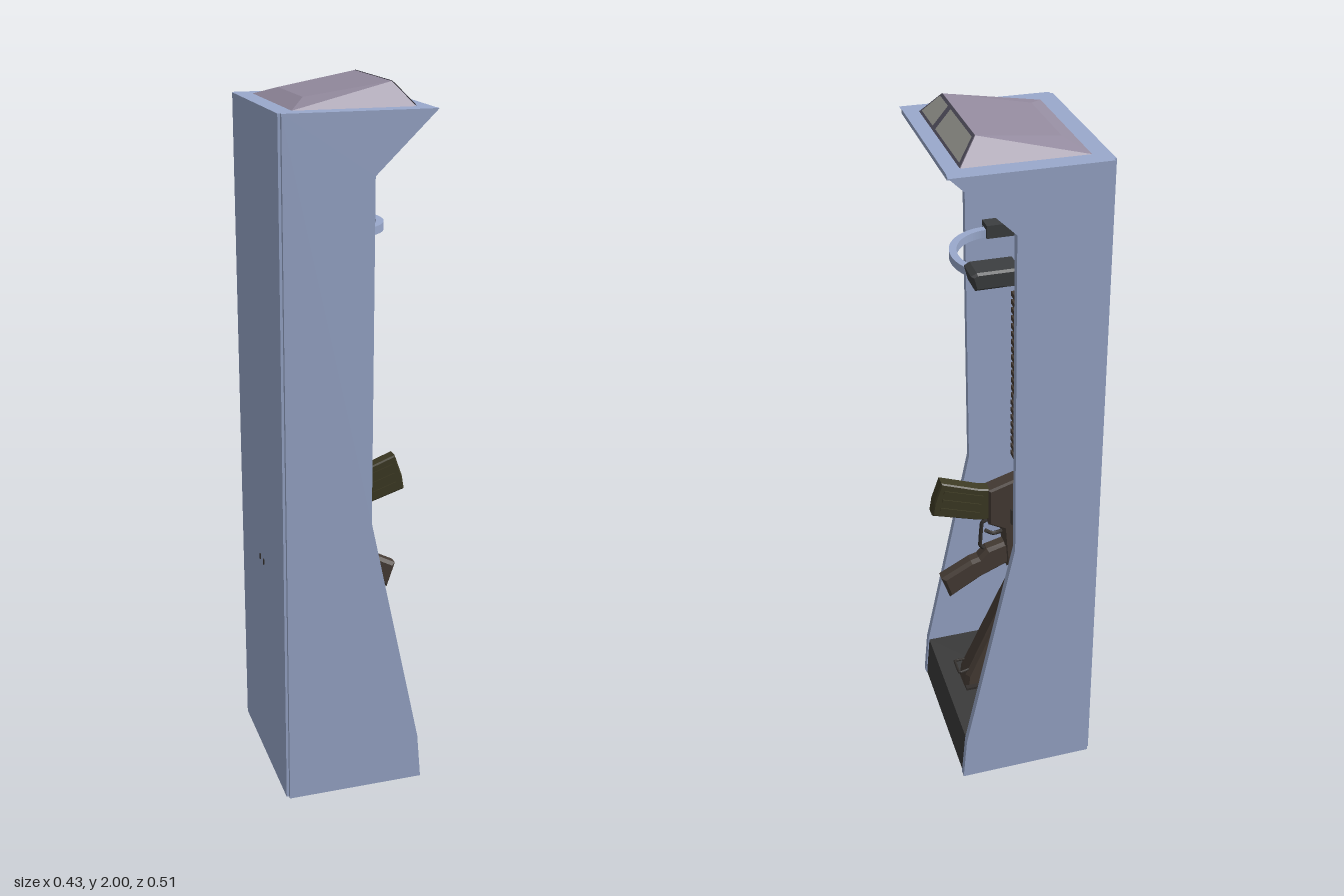
import * as THREE from 'three';
import { ConvexGeometry } from 'three/addons/geometries/ConvexGeometry.js';

const mat = (color) => new THREE.MeshStandardMaterial({ color, side: THREE.DoubleSide, flatShading: true });
const BLUE = mat(0x9aa9cc), DARK = mat(0x3a3a3a), HOOD = mat(0x958ca0), FRAME = mat(0x5b5868), GLASS = mat(0xa8a8a0);
const GUN = mat(0x463c35), STEEL = mat(0x332f2c), MAG = mat(0x3d3a24), HOLDER = mat(0x3c3e40);
const SMOOTH = new THREE.MeshStandardMaterial({ color: 0x3b342f });
const BORE = -0.09; // x of the barrel axis

function add(group, name, geometry, material, x = 0, y = 0, z = 0) {
  const m = new THREE.Mesh(geometry, material);
  m.name = name;
  m.position.set(x, y, z);
  group.add(m);
  return m;
}

// box given by its min and max along each axis
function box(group, name, material, [x0, x1], [y0, y1], [z0, z1]) {
  return add(group, name, new THREE.BoxGeometry(x1 - x0, y1 - y0, z1 - z0), material,
    (x0 + x1) / 2, (y0 + y1) / 2, (z0 + z1) / 2);
}

// side outline (x, y) given thickness along z
function slab(group, name, material, pts, depth, z = 0, bevel = 0, hole) {
  const shape = new THREE.Shape(pts.map((p) => new THREE.Vector2(...p)));
  if (hole) shape.holes.push(new THREE.Path(hole.map((p) => new THREE.Vector2(...p))));
  const d = depth - 2 * bevel;
  const geo = new THREE.ExtrudeGeometry(shape, {
    depth: d, bevelEnabled: bevel > 0, bevelSize: bevel, bevelOffset: -bevel, bevelThickness: bevel, bevelSegments: 1,
  });
  geo.translate(0, 0, -d / 2);
  return add(group, name, geo, material, 0, 0, z);
}

// upright round part on the barrel axis
function round(group, name, r0, r1, y0, y1, sides = 20, material = SMOOTH) {
  return add(group, name, new THREE.CylinderGeometry(r1, r0, y1 - y0, sides), material, BORE, (y0 + y1) / 2, 0);
}

function tube(group, name, pts, r, material, curved = false) {
  const v = pts.map((p) => new THREE.Vector3(...p));
  const curve = new THREE.CatmullRomCurve3(v, false, 'catmullrom', curved ? 0.5 : 0.1);
  return add(group, name, new THREE.TubeGeometry(curve, 32, r, 8), material);
}

function cabinet() {
  const g = new THREE.Group();
  g.name = 'cabinet';
  const side = [[-0.205, 0], [0.195, 0], [0.183, 0.14], [0.035, 0.84], [0.035, 1.78], [0.2, 1.94], [-0.205, 1.94]];
  for (const s of [1, -1]) slab(g, s > 0 ? 'leftWall' : 'rightWall', BLUE, side, 0.022, s * 0.242);
  box(g, 'backPanel', BLUE, [-0.212, -0.203], [0, 1.94], [-0.242, 0.242]);
  box(g, 'roof', BLUE, [-0.205, 0.198], [1.928, 1.94], [-0.232, 0.232]);
  slab(g, 'plinth', DARK, [[-0.203, 0.001], [0.192, 0.001], [0.18, 0.14], [-0.203, 0.14]], 0.462);
  return g;
}

function hood() {
  const g = new THREE.Group();
  g.name = 'roofHood';
  const pts = [];
  for (const s of [1, -1]) {
    for (const [x, y, z] of [[-0.165, 1.94, 0.2], [-0.115, 1.963, 0.122], [0.108, 1.998, 0.153], [0.158, 1.94, 0.2]]) {
      pts.push(new THREE.Vector3(x, y, s * z));
    }
  }
  add(g, 'hoodShell', new ConvexGeometry(pts), HOOD);
  // panel on the sloping front: corners are (z, height fraction)
  const panel = (name, material, corners, lift) => {
    const p = corners.flatMap(([z, t]) => [0.158 - 0.05 * t + 0.76 * lift, 1.94 + 0.058 * t + 0.65 * lift, z]);
    const geo = new THREE.BufferGeometry();
    geo.setAttribute('position', new THREE.Float32BufferAttribute(p, 3));
    geo.setIndex([0, 1, 2, 0, 2, 3]);
    geo.computeVertexNormals();
    add(g, name, geo, material);
  };
  panel('windowFrame', FRAME, [[0.2, 0], [-0.2, 0], [-0.153, 1], [0.153, 1]], 0.002);
  panel('largeWindow', GLASS, [[0.045, 0.1], [-0.184, 0.1], [-0.15, 0.9], [0.045, 0.9]], 0.004);
  panel('smallWindow', GLASS, [[0.184, 0.1], [0.07, 0.1], [0.07, 0.9], [0.15, 0.9]], 0.004);
  return g;
}

function barrelHolder() {
  const g = new THREE.Group();
  g.name = 'barrelHolder';
  box(g, 'leftArm', HOLDER, [-0.203, 0.005], [1.603, 1.64], [0.12, 0.165]);
  box(g, 'rightArm', HOLDER, [-0.203, 0.04], [1.603, 1.64], [-0.165, -0.12]);
  slab(g, 'lockBlock', HOLDER, [[0, 1.6], [0.115, 1.6], [0.125, 1.64], [0.11, 1.648], [0, 1.648]], 0.08, -0.125, 0.006);
  // swinging front bow, flat in section
  const bow = new THREE.Shape();
  bow.absarc(0, 0, 0.15, -Math.PI / 2, Math.PI / 2, false);
  bow.absarc(0, 0, 0.128, Math.PI / 2, -Math.PI / 2, true);
  const geo = new THREE.ExtrudeGeometry(bow, { depth: 0.022, bevelEnabled: false, curveSegments: 20 });
  geo.rotateX(-Math.PI / 2);
  geo.scale(0.9, 1, 1);
  add(g, 'bow', geo, BLUE, 0, 1.604, 0);
  return g;
}

function handguard() {
  const g = new THREE.Group();
  g.name = 'handguard';
  round(g, 'handguardCore', 0.043, 0.043, 0.965, 1.505, 12, GUN);
  round(g, 'deltaRing', 0.032, 0.046, 0.925, 0.965);
  round(g, 'handguardCap', 0.044, 0.036, 1.505, 1.52);
  // four toothed rails
  for (let k = 0; k < 4; k++) {
    const rail = new THREE.Group();
    rail.name = 'rail';
    rail.position.x = BORE;
    rail.rotation.y = (k * Math.PI) / 2;
    box(rail, 'railBase', GUN, [0.03, 0.049], [0.97, 1.5], [-0.016, 0.016]);
    for (let i = 0; i < 22; i++) {
      const y = 0.972 + i * 0.0241;
      box(rail, 'railTooth', GUN, [0.045, 0.057], [y, y + 0.014], [-0.02, 0.02]);
    }
    g.add(rail);
  }
  return g;
}

function rifle() {
  const g = new THREE.Group();
  g.name = 'rifle';
  // stock, wider in z towards the butt
  const stock = slab(g, 'stock', GUN, [[-0.135, 0.142], [0.13, 0.155], [0.125, 0.2], [-0.035, 0.56], [-0.045, 0.62],
    [-0.125, 0.62], [-0.13, 0.5]], 0.076, 0, 0.012);
  const p = stock.geometry.attributes.position;
  for (let i = 0; i < p.count; i++) p.setZ(i, p.getZ(i) * (1.05 - 0.65 * Math.max(0, p.getY(i) - 0.14)));
  stock.geometry.computeVertexNormals();
  box(g, 'buttPlate', STEEL, [-0.13, 0.125], [0.14, 0.148], [-0.036, 0.036]);
  tube(g, 'slingLoop', [[0.1, 0.22, 0.022], [0.145, 0.215, 0.028], [0.145, 0.215, -0.028], [0.1, 0.22, -0.022]], 0.004, STEEL);
  // receivers
  slab(g, 'upperReceiver', GUN, [[-0.13, 0.62], [-0.06, 0.62], [-0.055, 0.93], [-0.125, 0.93]], 0.064, 0, 0.01);
  slab(g, 'lowerReceiver', GUN, [[-0.07, 0.6], [-0.01, 0.6], [0.0, 0.74], [0.045, 0.765], [0.045, 0.885], [-0.07, 0.92]],
    0.052, 0, 0.006);
  slab(g, 'magazine', MAG, [[-0.01, 0.775], [0.075, 0.785], [0.212, 0.828], [0.205, 0.87], [0.182, 0.935], [0.07, 0.893],
    [-0.01, 0.875]], 0.04, 0, 0.004);
  for (const s of [1, -1]) for (const k of [-1, 0, 1]) {
    const rib = add(g, 'magazineRib', new THREE.BoxGeometry(0.12, 0.01, 0.006), MAG, 0.125 - k * 0.006, 0.857 + k * 0.028, s * 0.02);
    rib.rotation.z = 0.33;
  }
  slab(g, 'pistolGrip', GUN, [[-0.02, 0.69], [0.05, 0.672], [0.075, 0.645], [0.1, 0.638], [0.19, 0.59], [0.165, 0.515],
    [0.07, 0.572], [-0.02, 0.61]], 0.046, 0, 0.01);
  tube(g, 'triggerGuard', [[0.05, 0.66, 0], [0.066, 0.68, 0], [0.06, 0.76, 0], [0.03, 0.775, 0]], 0.006, STEEL);
  tube(g, 'trigger', [[-0.01, 0.72, 0], [0.025, 0.715, 0], [0.05, 0.73, 0]], 0.006, STEEL, true);
  // controls on the sides
  const assist = add(g, 'forwardAssist', new THREE.CylinderGeometry(0.015, 0.013, 0.09, 12), SMOOTH, -0.08, 0.64, 0.035);
  assist.rotation.x = -0.3;
  slab(g, 'caseDeflector', GUN, [[-0.1, 0.69], [-0.06, 0.69], [-0.06, 0.74], [-0.1, 0.75]], 0.04, 0.036, 0.008);
  box(g, 'ejectionCover', STEEL, [-0.105, -0.065], [0.76, 0.89], [0.03, 0.036]);
  box(g, 'selector', STEEL, [-0.035, -0.02], [0.6, 0.64], [-0.042, 0.042]);
  box(g, 'boltCatch', STEEL, [-0.045, -0.02], [0.76, 0.81], [-0.036, -0.02]);
  box(g, 'chargingHandle', STEEL, [-0.135, -0.12], [0.6, 0.63], [-0.045, 0.045]);
  // carrying handle with rear sight
  slab(g, 'carryHandle', GUN, [[-0.12, 0.64], [-0.19, 0.635], [-0.198, 0.69], [-0.19, 0.91], [-0.12, 0.93]], 0.034, 0, 0.005,
    [[-0.138, 0.7], [-0.172, 0.71], [-0.172, 0.86], [-0.138, 0.89]]);
  for (const s of [1, -1]) box(g, 'rearSightEar', STEEL, [-0.215, -0.18], [0.643, 0.66], [s * 0.02 - 0.003, s * 0.02 + 0.003]);
  g.add(handguard());
  // barrel, front sight and muzzle
  round(g, 'barrel', 0.016, 0.015, 1.5, 1.8);
  round(g, 'sightBase', 0.022, 0.022, 1.525, 1.585);
  slab(g, 'frontSight', STEEL, [[-0.1, 1.52], [-0.195, 1.55], [-0.2, 1.575], [-0.1, 1.59]], 0.022);
  tube(g, 'frontSlingLoop', [[-0.07, 1.54, 0.015], [-0.025, 1.535, 0.018], [-0.025, 1.535, -0.018], [-0.07, 1.54, -0.015]], 0.004, STEEL);
  round(g, 'muzzleCollar', 0.02, 0.02, 1.78, 1.8);
  round(g, 'flashHider', 0.017, 0.021, 1.8, 1.885);
  for (let i = 0; i < 6; i++) {
    const a = (i * Math.PI) / 3;
    const slot = add(g, 'flashSlot', new THREE.BoxGeometry(0.004, 0.045, 0.005), DARK,
      BORE + 0.019 * Math.cos(a), 1.845, 0.019 * Math.sin(a));
    slot.rotation.y = -a;
  }
  return g;
}

export function createModel() {
  const model = new THREE.Group();
  model.name = 'rifleCabinet';
  model.add(cabinet(), hood(), barrelHolder(), rifle());
  return model;
}
